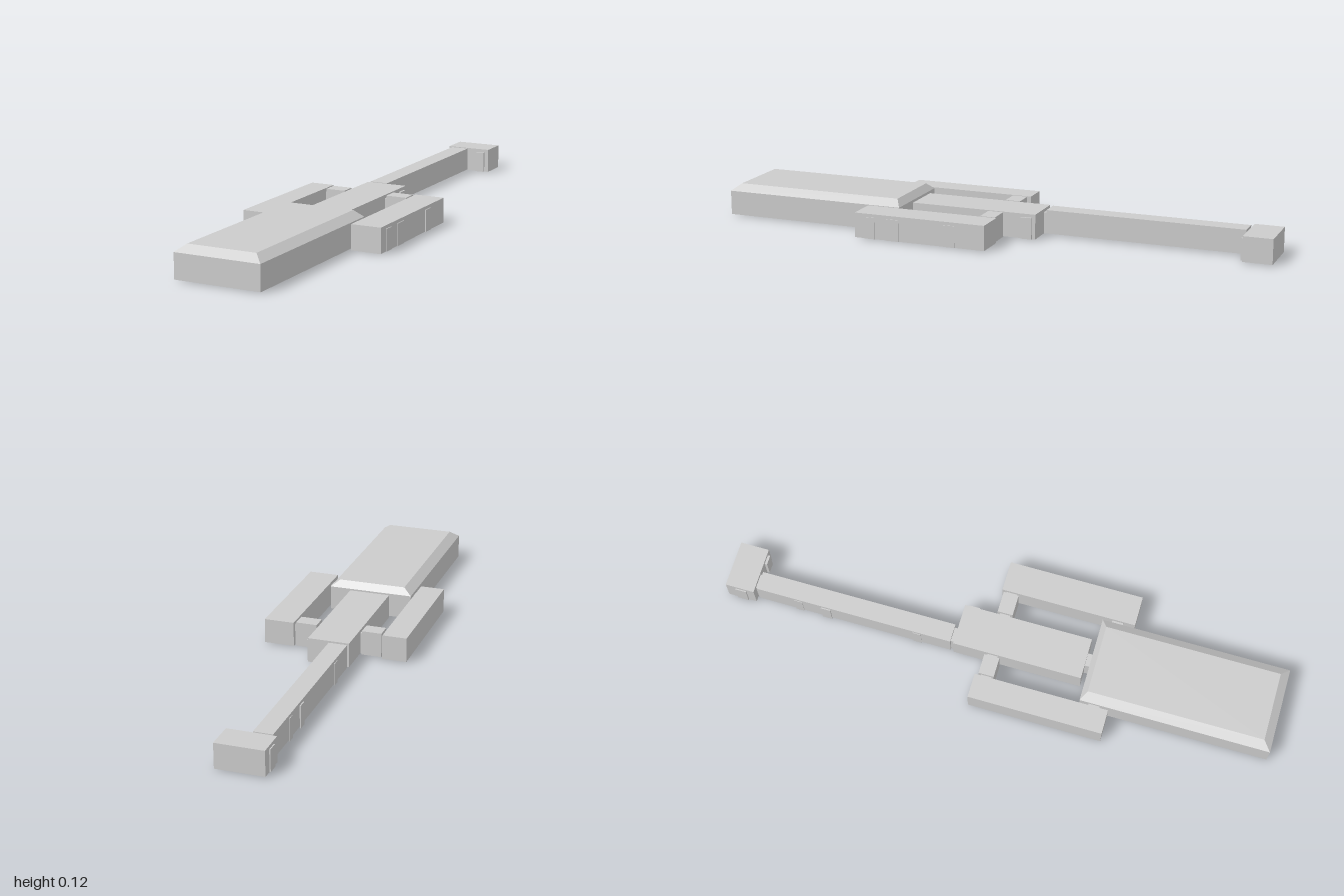
import * as THREE from 'three';
import { toCreasedNormals } from 'three/addons/utils/BufferGeometryUtils.js';

export function createModel() {
  const group = new THREE.Group();
  const material = new THREE.MeshStandardMaterial({ color: 0xcccccc });
  const BASE = 0.003, TOP = 0.092, DOOR_TOP = 0.08;

  function add(name, geometry) {
    const mesh = new THREE.Mesh(geometry, material);
    mesh.name = name;
    group.add(mesh);
  }

  // Block given by its extents
  function block(name, x0, x1, z0, z1, y0 = BASE, y1 = TOP) {
    const g = new THREE.BoxGeometry(x1 - x0, y1 - y0, z1 - z0);
    g.translate((x0 + x1) / 2, (y0 + y1) / 2, (z0 + z1) / 2);
    add(name, g);
  }

  // Main hall: box whose top ring is drawn in to make a bevelled roof
  const hall = { x0: -0.168, x1: 0.142, z0: 0.322, z1: 1, eave: 0.091, top: 0.115 };
  const hallGeo = new THREE.BoxGeometry(1, 2, 1, 1, 2, 1);
  const p = hallGeo.attributes.position;
  for (let i = 0; i < p.count; i++) {
    const level = Math.round(p.getY(i)) + 1;
    const inset = level === 2 ? 1 : 0;
    p.setXYZ(i,
      p.getX(i) < 0 ? hall.x0 + 0.031 * inset : hall.x1 - 0.031 * inset,
      [BASE, hall.eave, hall.top][level],
      p.getZ(i) < 0 ? hall.z0 + 0.02 * inset : hall.z1 - 0.03 * inset);
  }
  add('mainHall', toCreasedNormals(hallGeo, 0.4));

  // Rooms and corridors
  block('middleRoom', -0.09, 0.06, -0.16, 0.305);
  block('rightSideRoom', -0.265, -0.177, -0.055, 0.427);
  block('leftSideRoom', 0.153, 0.262, -0.05, 0.437);
  block('longCorridor', -0.087, -0.02, -0.888, -0.172, 0.006, 0.091);
  block('endRoom', -0.103, 0.066, -1, -0.896);
  block('rightLinkRoom', -0.17, -0.098, -0.043, 0.012);
  block('leftLinkRoom', 0.069, 0.146, -0.043, 0.012);

  // Doorways bridging the gaps between rooms
  const doorways = [
    [-0.037, 0.01, 0.305, 0.322],
    [-0.08, -0.028, -0.172, -0.16],
    [-0.08, -0.028, -0.896, -0.888],
    [-0.177, -0.17, -0.034, 0.004],
    [-0.098, -0.09, -0.034, 0.004],
    [0.06, 0.069, -0.034, 0.004],
    [0.146, 0.153, -0.034, 0.004],
    [-0.177, -0.168, 0.355, 0.395],
    [0.142, 0.153, 0.355, 0.395],
  ];
  for (const [x0, x1, z0, z1] of doorways) block('doorway', x0, x1, z0, z1, BASE, DOOR_TOP);

  // Thin door panels on walls: wall x, outward depth, z extents
  const panels = [
    [0.262, 0.003, 0.36, 0.4],
    [0.262, 0.003, 0.27, 0.315],
    [0.262, 0.003, 0.06, 0.1],
    [0.06, 0.007, -0.148, -0.108],
    [-0.103, -0.004, -0.965, -0.925],
    [-0.087, -0.004, -0.65, -0.615],
    [-0.087, -0.002, -0.75, -0.72],
    [-0.087, -0.002, -0.31, -0.28],
  ];
  for (const [x, d, z0, z1] of panels) {
    block('doorPanel', Math.min(x, x + d), Math.max(x, x + d), z0, z1,
      x === -0.087 ? 0 : BASE, DOOR_TOP);
  }
  block('endRoomDoor', 0.015, 0.05, -0.896, -0.887, BASE, DOOR_TOP);

  return group;
}
